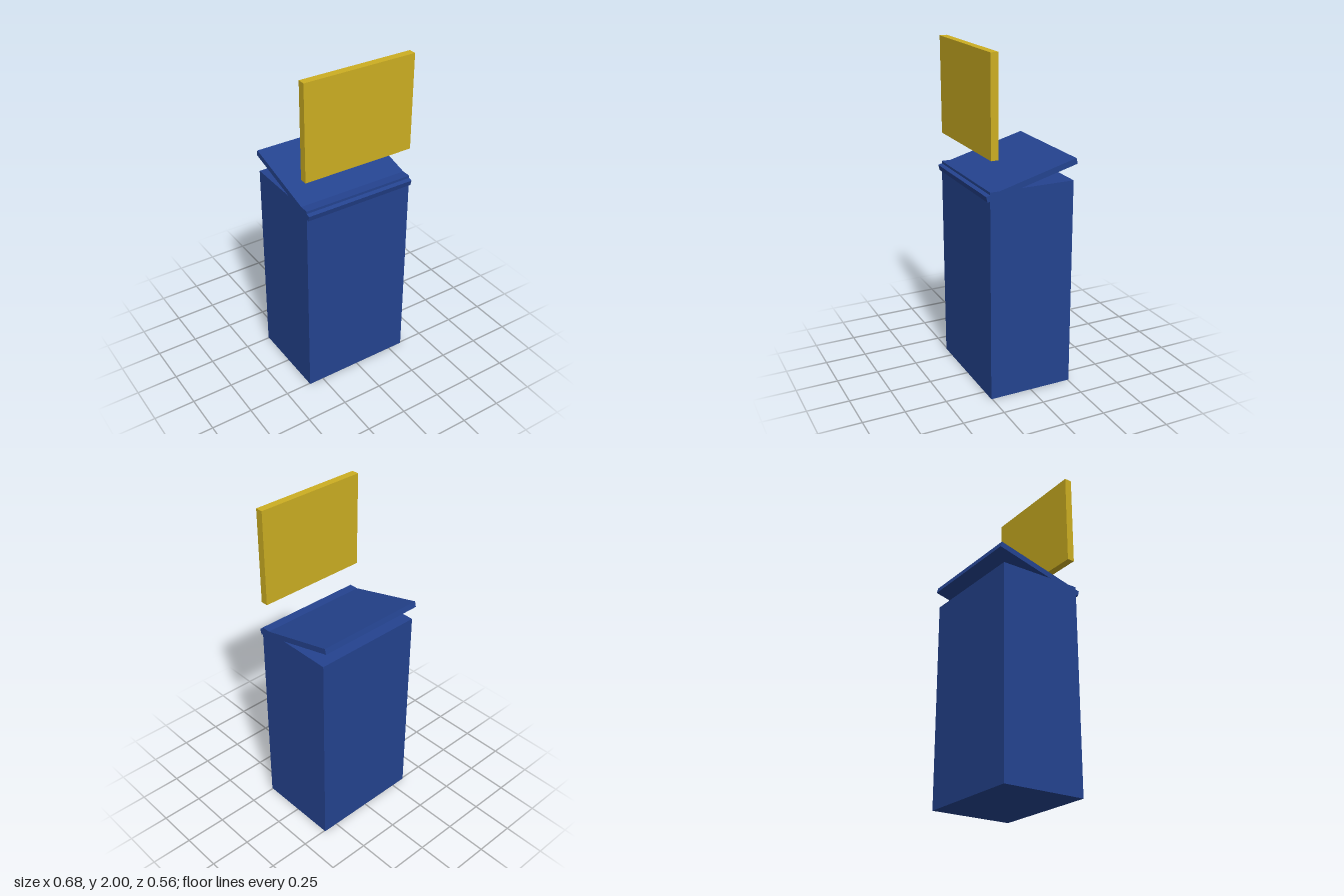
import * as THREE from 'three';

export function createModel() {
  const group = new THREE.Group();
  const blue = new THREE.MeshStandardMaterial({ name: 'blue', color: 0x24438f });
  const yellow = new THREE.MeshStandardMaterial({ name: 'yellow', color: 0xccae22 });
  const width = 0.684;

  // All parts are full-width slabs: height, depth, centre y and z, tilt about x
  const slab = (name, material, height, depth, y, z, tilt = 0) => {
    const mesh = new THREE.Mesh(new THREE.BoxGeometry(width, height, depth), material);
    mesh.name = name;
    mesh.position.set(0, y, z);
    mesh.rotation.x = tilt;
    group.add(mesh);
  };

  // Upright cabinet
  slab('body', blue, 1.257, 0.512, 0.6285, 0);
  // Lid sloping up to the back, its front sunk into the cabinet top
  slab('lid', blue, 0.034, 0.57, 1.293, 0, Math.PI / 12);
  // Sign board floating above the front
  slab('signBoard', yellow, 0.57, 0.045, 1.715, 0.2275);

  return group;
}
